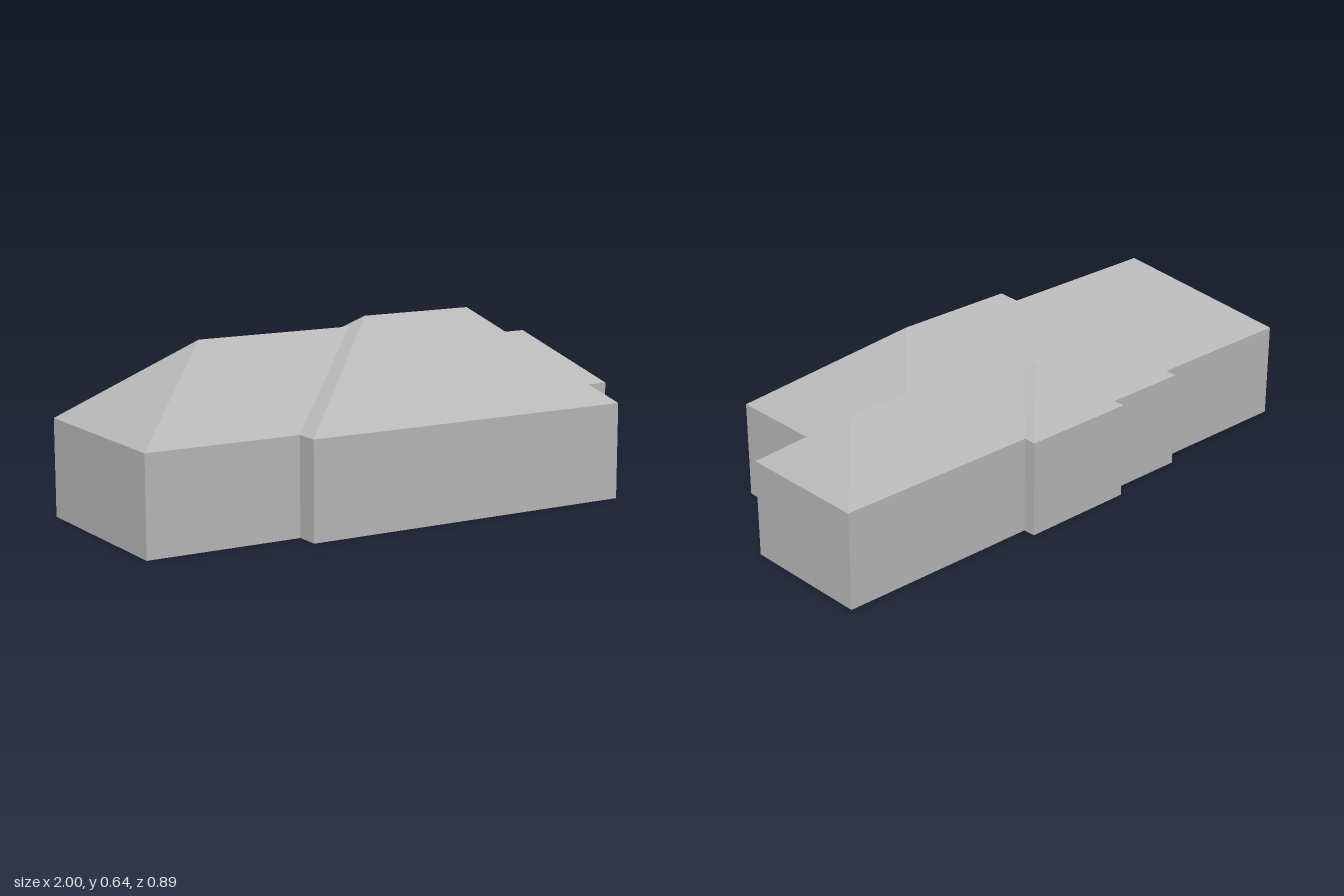
import * as THREE from 'three';

const EAVES = 0.333;

// Hip-roofed block. Corners run anticlockwise seen from above: a, b, c, d as [x, z].
// Ridge goes from p (near side d-a) to q (near side b-c) at the given height.
function hipBlock(name, corners, p, q, height, material) {
  const positions = [];
  const face = (...pts) => {
    for (let i = 1; i < pts.length - 1; i++) positions.push(...pts[0], ...pts[i], ...pts[i + 1]);
  };
  const at = ([x, z], y) => [x, y, z];
  const low = corners.map((c) => at(c, 0));
  const top = corners.map((c) => at(c, EAVES));
  const P = at(p, height), Q = at(q, height);

  // walls and floor
  for (let i = 0; i < 4; i++) {
    const j = (i + 1) % 4;
    face(low[i], low[j], top[j], top[i]);
  }
  face(low[3], low[2], low[1], low[0]);

  // two long roof slopes and two hip ends
  const [a, b, c, d] = top;
  face(a, b, Q, P);
  face(b, c, Q);
  face(c, d, P, Q);
  face(d, a, P);

  const geometry = new THREE.BufferGeometry();
  geometry.setAttribute('position', new THREE.Float32BufferAttribute(positions, 3));
  geometry.computeVertexNormals();
  const mesh = new THREE.Mesh(geometry, material);
  mesh.name = name;
  return mesh;
}

export function createModel() {
  const group = new THREE.Group();
  group.name = 'house';
  const grey = new THREE.MeshStandardMaterial({ color: 0xb8b8b8 });
  grey.name = 'plain grey';

  group.add(
    // tall central block
    hipBlock('mainBlock',
      [[-0.466, 0.385], [0.738, 0.445], [0.781, -0.361], [-0.423, -0.421]],
      [0.0, -0.009], [0.415, 0.012], 0.64, grey),
    // long wing on the -x side, running into the main block
    hipBlock('longWing',
      [[-1.0, 0.272], [-0.05, 0.319], [-0.02, -0.356], [-0.968, -0.404]],
      [-0.615, -0.06], [0.02, -0.027], 0.605, grey),
    // short low wing on the +x side, flush with the main back wall
    hipBlock('shortWing',
      [[0.7, 0.093], [0.977, 0.107], [1.0, -0.35], [0.76, -0.362]],
      [0.57, -0.147], [0.788, -0.137], 0.511, grey),
    // small projecting bay at the back
    hipBlock('backBay',
      [[-0.123, -0.449], [-0.137, -0.15], [0.267, -0.13], [0.281, -0.43]],
      [0.087, -0.25], [0.085, -0.13], 0.49, grey),
  );
  return group;
}
